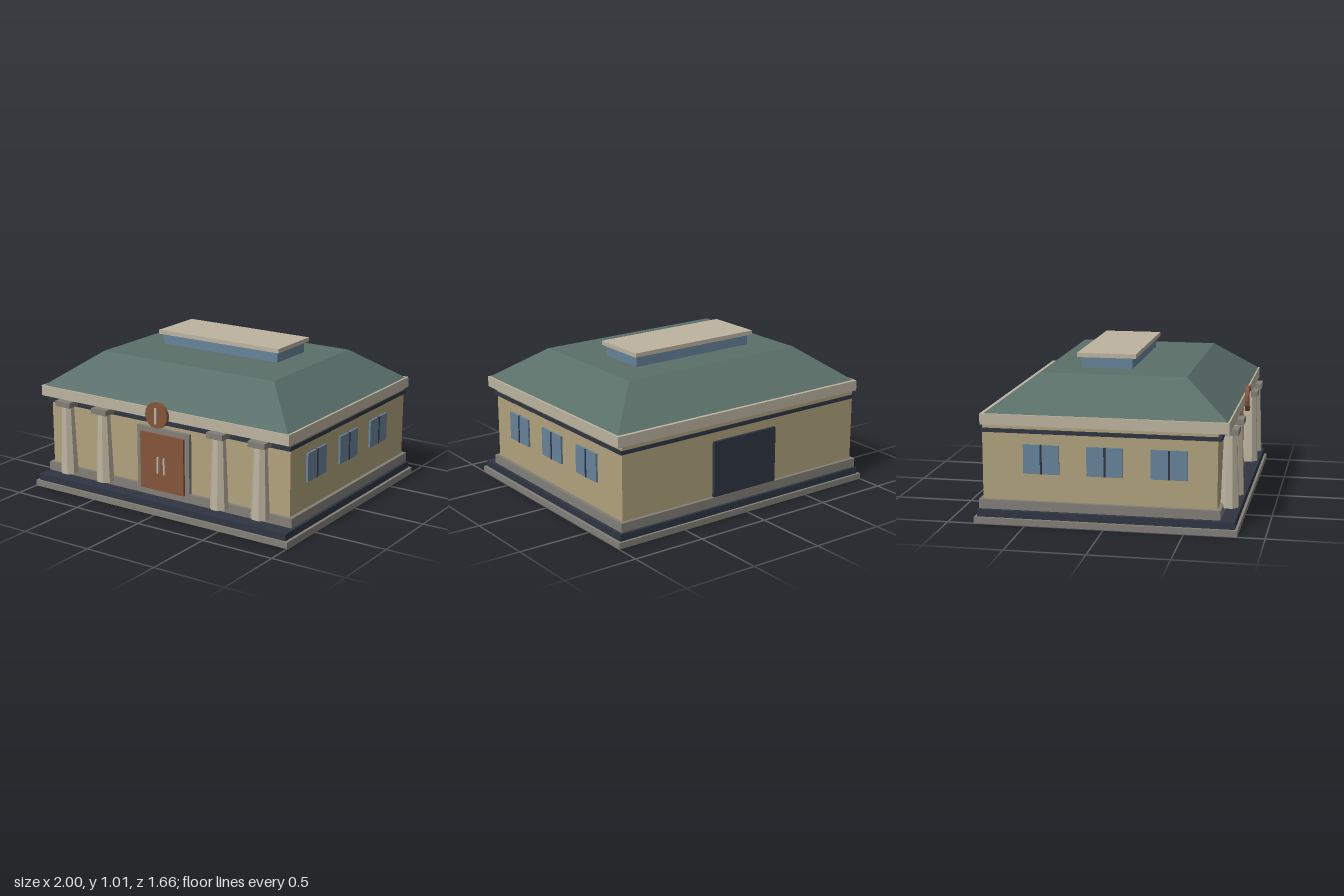
import * as THREE from 'three';

const mat = (color) => new THREE.MeshStandardMaterial({ color, flatShading: true });

export function createModel() {
  const model = new THREE.Group();
  model.name = 'building';
  const stone = mat(0x827f78), navy = mat(0x2f3542), wall = mat(0xb0a27c), trim = mat(0xbdb4a0);
  const roofGreen = mat(0x5a6f69), glass = mat(0x66839a), wood = mat(0x84543a);

  const add = (name, geometry, material, x = 0, y = 0, z = 0, parent = model) => {
    const mesh = new THREE.Mesh(geometry, material);
    mesh.name = name;
    mesh.position.set(x, y, z);
    parent.add(mesh);
    return mesh;
  };
  // box given by its extents on each axis
  const box = (name, material, x0, x1, y0, y1, z0, z1, parent) =>
    add(name, new THREE.BoxGeometry(x1 - x0, y1 - y0, z1 - z0), material,
      (x0 + x1) / 2, (y0 + y1) / 2, (z0 + z1) / 2, parent);
  // box symmetric about x = 0
  const slab = (name, material, half, y0, y1, z0, z1) => box(name, material, -half, half, y0, y1, z0, z1);

  // stepped base, walls and horizontal bands
  slab('baseStep', stone, 1, 0, 0.04, -0.83, 0.83);
  slab('upperStep', navy, 0.98, 0.04, 0.085, -0.813, 0.813);
  slab('walls', wall, 0.94, 0.085, 0.63, -0.78, 0.70);
  slab('plinth', stone, 0.965, 0.09, 0.15, -0.803, 0.723);
  slab('wallBand', navy, 0.95, 0.58, 0.605, -0.787, 0.723);
  slab('cornice', trim, 0.97, 0.63, 0.70, -0.787, 0.77);

  // hipped roof with a flat top: the upper corners of a box are drawn inwards
  const roof = new THREE.BoxGeometry(1.914, 0.217, 1.526);
  const p = roof.attributes.position;
  for (let i = 0; i < p.count; i++) {
    if (p.getY(i) > 0) p.setXYZ(i, Math.sign(p.getX(i)) * 0.67, p.getY(i), Math.sign(p.getZ(i)) * 0.47);
  }
  roof.computeVertexNormals();
  add('roof', roof, roofGreen, 0, 0.8075, -0.002);

  // roof lantern
  slab('lanternGlazing', glass, 0.455, 0.91, 0.987, -0.25, 0.085);
  slab('lanternCap', trim, 0.478, 0.987, 1.015, -0.275, 0.11);

  // tapered eight-sided columns with square capitals
  for (const x of [-0.76, -0.455, 0.455, 0.76]) {
    const column = new THREE.Group();
    column.name = 'column';
    column.position.set(x, 0, 0.755);
    model.add(column);
    const shaft = new THREE.CylinderGeometry(0.043, 0.06, 0.465, 8).rotateY(Math.PI / 8);
    add('columnShaft', shaft, trim, 0, 0.3575, 0, column);
    box('columnCapital', stone, -0.061, 0.061, 0.59, 0.626, -0.055, 0.055, column);
  }

  // front entrance
  slab('doorFrame', stone, 0.205, 0.09, 0.55, 0.69, 0.725);
  slab('frontDoor', wood, 0.17, 0.135, 0.515, 0.70, 0.74);
  for (const s of [-1, 1]) {
    box('doorHandle', trim, s * 0.025 - 0.006, s * 0.025 + 0.006, 0.255, 0.365, 0.735, 0.755);
  }

  // round medallion over the entrance
  const disc = new THREE.CylinderGeometry(0.086, 0.086, 0.025, 16).rotateX(Math.PI / 2);
  add('medallion', disc, wood, 0, 0.66, 0.782);
  slab('medallionBar', trim, 0.008, 0.605, 0.71, 0.785, 0.803);

  // side windows
  for (const s of [-1, 1]) {
    for (const z of [-0.402, 0, 0.402]) {
      const win = new THREE.Group();
      win.name = 'window';
      win.position.set(s * 0.94, 0.418, z);
      model.add(win);
      box('windowGlass', glass, -0.014, 0.014, -0.093, 0.093, -0.114, 0.114, win);
      box('windowMullion', navy, -0.018, 0.018, -0.093, 0.093, -0.006, 0.006, win);
    }
  }

  // wide back door
  slab('backDoor', navy, 0.25, 0.12, 0.52, -0.80, -0.77);

  return model;
}
